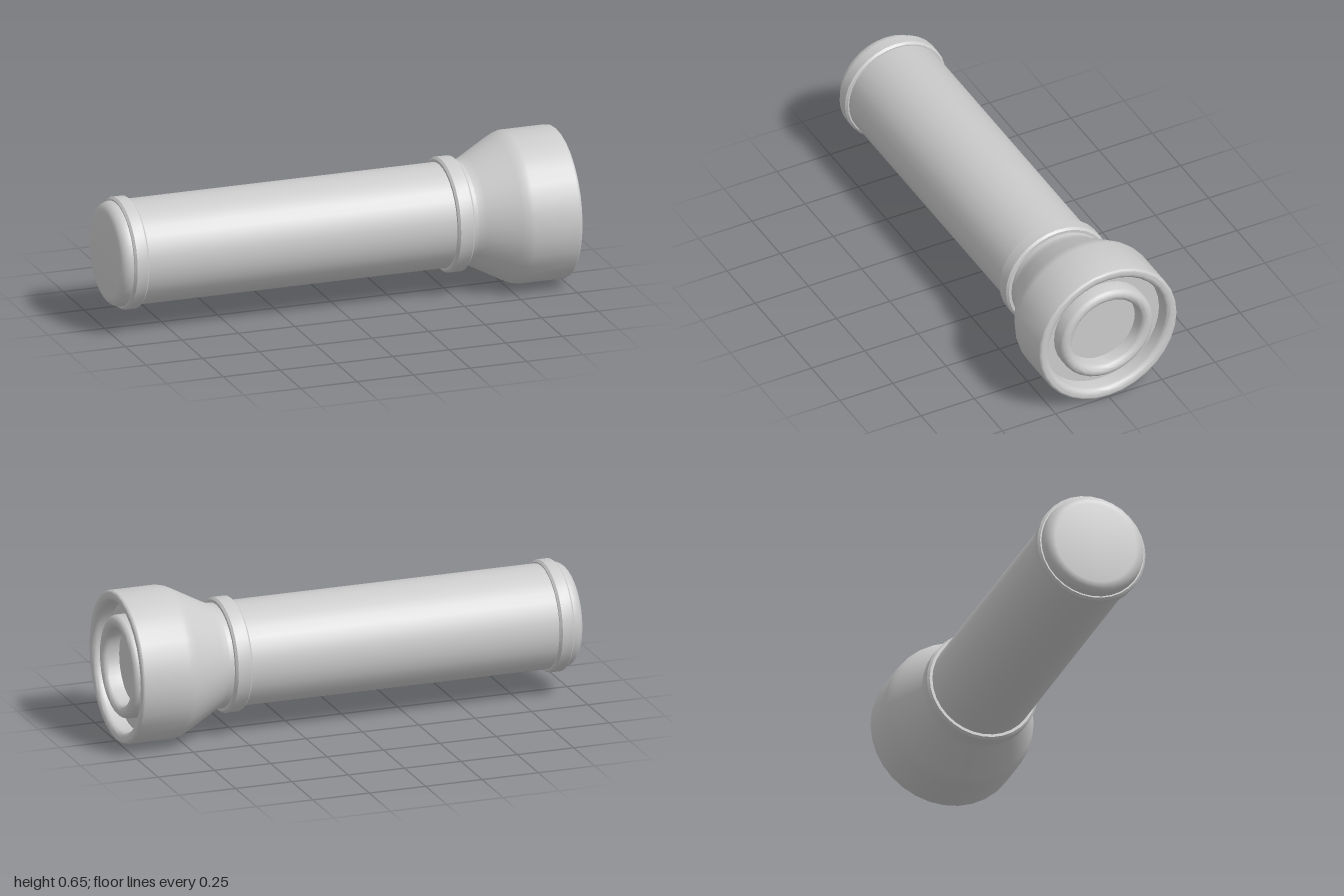
import * as THREE from 'three';
import { toCreasedNormals } from 'three/addons/utils/BufferGeometryUtils.js';

const SEGMENTS = 32;
const AXIS_HEIGHT = 0.323;

// Points on a quarter ellipse, as [x, radius], from angle a0 to a1 in degrees
function arc(cx, cr, rx, rr, a0, a1, steps = 5) {
  return Array.from({ length: steps + 1 }, (_, i) => {
    const a = THREE.MathUtils.degToRad(a0 + ((a1 - a0) * i) / steps);
    return [cx + rx * Math.cos(a), cr + rr * Math.sin(a)];
  });
}

export function createModel() {
  const group = new THREE.Group();
  const material = new THREE.MeshStandardMaterial({ color: 0xcccccc });

  // Turn a profile of [x, radius] pairs around the long axis
  function turned(name, profile) {
    const points = profile.map(([x, r]) => new THREE.Vector2(Math.max(r, 0), x));
    const geometry = toCreasedNormals(new THREE.LatheGeometry(points, SEGMENTS), 0.6);
    geometry.rotateZ(-Math.PI / 2);
    geometry.translate(0, AXIS_HEIGHT, 0);
    const mesh = new THREE.Mesh(geometry, material);
    mesh.name = name;
    group.add(mesh);
  }

  // Handle with a rounded tail end
  turned('handle', [
    [-1, 0],
    ...arc(-0.955, 0.177, 0.045, 0.045, 180, 90),
    [0.575, 0.222],
  ]);

  // Raised bands near the tail and the head
  const bands = [
    ['tailBand', -0.95, -0.885, 0.237],
    ['neckBand', 0.48, 0.555, 0.243],
  ];
  for (const [name, x0, x1, r] of bands) {
    const c = 0.009;
    turned(name, [
      [x0, 0.215], [x0, r - c], [x0 + c, r],
      [x1 - c, r], [x1, r - c], [x1, 0.215],
    ]);
  }

  // Flared head, rounded lip and recessed front face
  turned('head', [
    [0.56, 0.218], [0.585, 0.223], [0.61, 0.235],
    [0.74, 0.305], [0.765, 0.317], [0.79, 0.323],
    ...arc(0.988, 0.311, 0.012, 0.012, 90, 0, 4),
    ...arc(0.976, 0.3, 0.024, 0.024, 0, -90),
    [0.925, 0.276], [0.925, 0],
  ]);

  // Rounded ring around the lens
  turned('lensRing', [
    [0.92, 0.218],
    ...arc(0.97, 0.19, 0.028, 0.028, 90, -90, 10),
    [0.92, 0.162],
  ]);

  return group;
}
